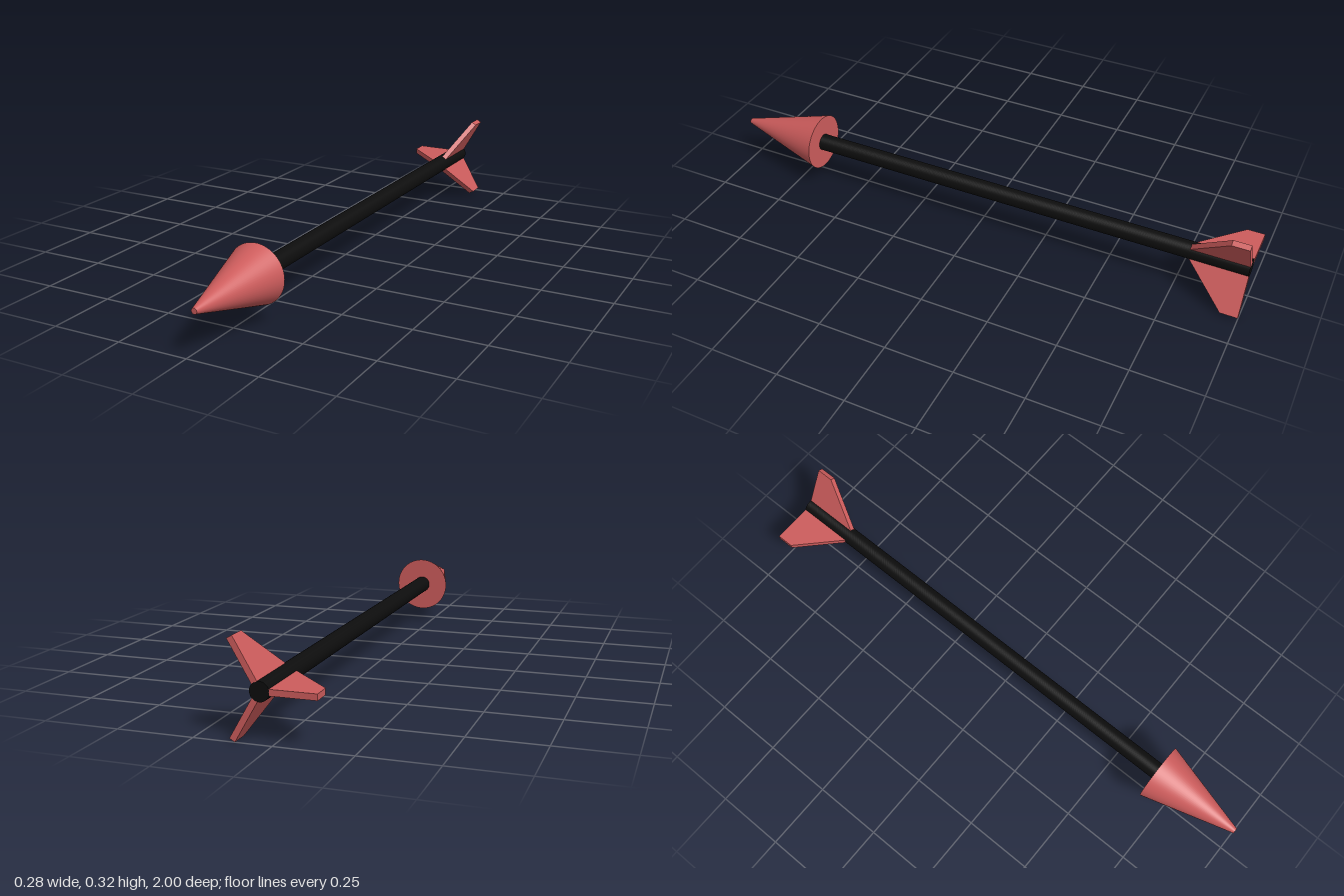
import * as THREE from 'three';

export function createModel() {
  const red = new THREE.MeshStandardMaterial({ color: 0xcd5c5c });
  red.name = 'red';
  const black = new THREE.MeshStandardMaterial({ color: 0x0d0d0d });
  black.name = 'black';

  const arrow = new THREE.Group();
  arrow.name = 'arrow';
  arrow.position.set(0.036, 0.16, 0);

  const add = (name, geometry, material) => {
    const mesh = new THREE.Mesh(geometry, material);
    mesh.name = name;
    arrow.add(mesh);
    return mesh;
  };

  // Round part along z between two depths
  const rod = (frontRadius, backRadius, back, front) =>
    new THREE.CylinderGeometry(frontRadius, backRadius, front - back, 64)
      .rotateX(Math.PI / 2)
      .translate(0, 0, (front + back) / 2);

  add('shaft', rod(0.031, 0.031, -1, 0.68), black);
  add('arrowhead', rod(0.01, 0.104, 0.667, 1), red);

  // Fin profile: radius outward, depth along the shaft
  const profile = new THREE.Shape([
    new THREE.Vector2(0.029, -1),
    new THREE.Vector2(0.177, -1),
    new THREE.Vector2(0.177, -0.938),
    new THREE.Vector2(0.029, -0.793),
  ]);
  const thickness = 0.02;
  const finGeometry = new THREE.ExtrudeGeometry(profile, { depth: thickness, bevelEnabled: false })
    .translate(0, 0, -thickness / 2)
    .rotateX(Math.PI / 2);

  // Three fins evenly spaced around the shaft
  ['upperLeftFin', 'rightFin', 'lowerLeftFin'].forEach((name, i) => {
    add(name, finGeometry, red).rotation.z = Math.PI / 3 + (i * Math.PI * 2) / 3;
  });

  const model = new THREE.Group();
  model.name = 'arrowModel';
  model.add(arrow);
  return model;
}
